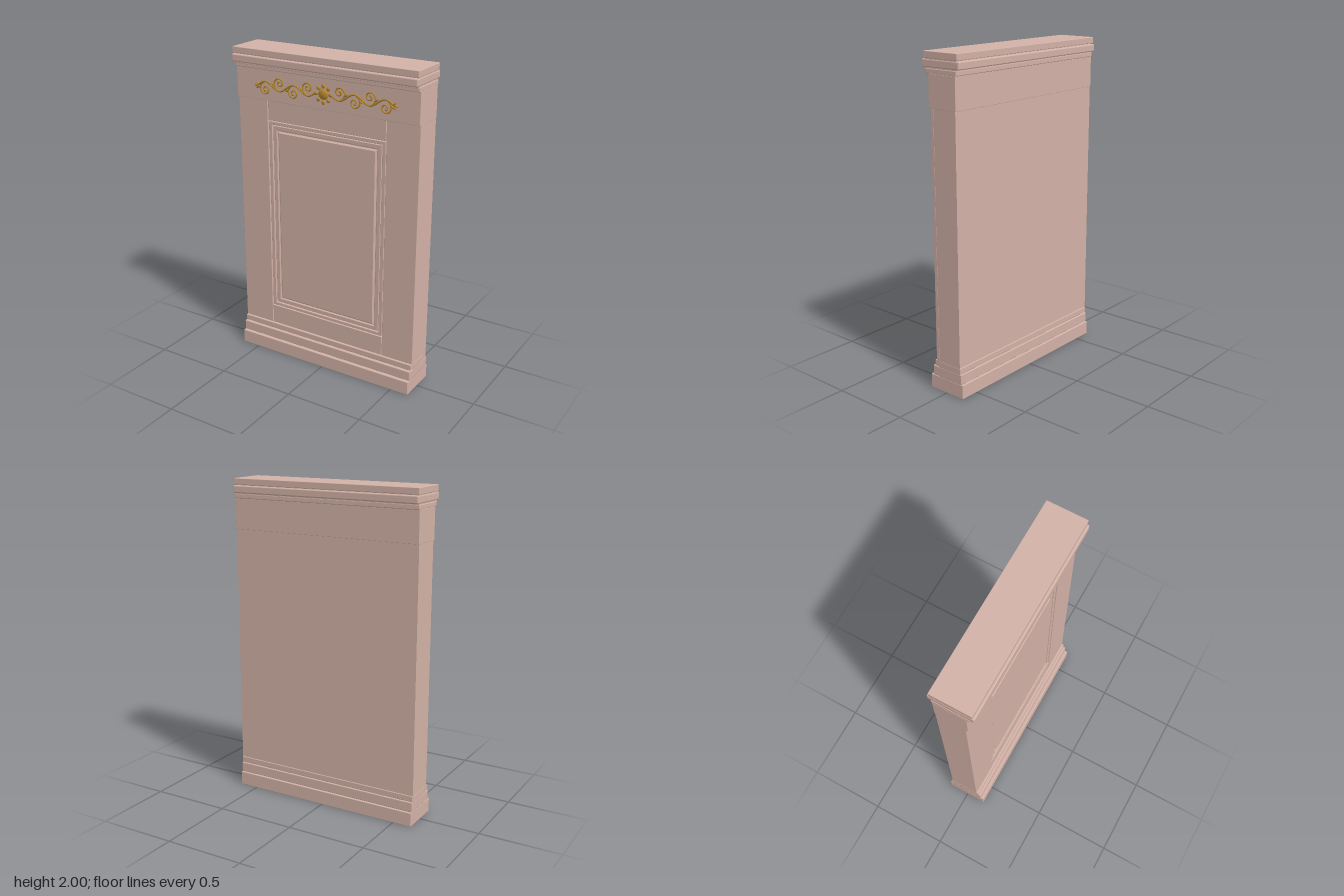
import * as THREE from 'three';
import { RoundedBoxGeometry } from 'three/addons/geometries/RoundedBoxGeometry.js';

const stone = new THREE.MeshStandardMaterial({ color: 0xd3b2a7 });
const gold = new THREE.MeshStandardMaterial({ color: 0xb8892f });
const W = 0.62; // half width

function add(parent, name, geometry, material = stone) {
  const mesh = new THREE.Mesh(geometry, material);
  mesh.name = name;
  parent.add(mesh);
  return mesh;
}

// Block given by its limits, with softened edges
function block(parent, name, [x0, x1], [y0, y1], [z0, z1], r = 0.002) {
  const mesh = add(parent, name, new RoundedBoxGeometry(x1 - x0, y1 - y0, z1 - z0, 2, r));
  mesh.position.set((x0 + x1) / 2, (y0 + y1) / 2, (z0 + z1) / 2);
  return mesh;
}

function rect(path, hx, hy) {
  path.moveTo(-hx, -hy);
  path.lineTo(hx, -hy);
  path.lineTo(hx, hy);
  path.lineTo(-hx, hy);
  path.closePath();
  return path;
}

// Bevelled rectangular frame (or solid panel when no hole is given)
function panelPiece(parent, name, outer, inner, z0, z1, bevel) {
  const shape = rect(new THREE.Shape(), outer[0] - bevel, outer[1] - bevel);
  if (inner) shape.holes.push(rect(new THREE.Path(), inner[0] + bevel, inner[1] + bevel));
  const geometry = new THREE.ExtrudeGeometry(shape, {
    depth: z1 - z0 - bevel, bevelEnabled: true, bevelSize: bevel, bevelThickness: bevel, bevelSegments: 1,
  });
  add(parent, name, geometry).position.set(0, 0.94, z0);
}

function tube(parent, name, points, radius) {
  const curve = new THREE.CatmullRomCurve3(points);
  return add(parent, name, new THREE.TubeGeometry(curve, points.length * 2, radius, 8), gold);
}

function ball(parent, name, x, y, z, r, sx = 1, sy = 1, sz = 1) {
  const mesh = add(parent, name, new THREE.SphereGeometry(r, 16, 12), gold);
  mesh.position.set(x, y, z);
  mesh.scale.set(sx, sy, sz);
  return mesh;
}

// One half of the scrollwork, running outward along +x
function scrollHalf(side) {
  const half = new THREE.Group();
  half.name = side > 0 ? 'leftScroll' : 'rightScroll';
  const stemY = (x) => -0.024 * Math.cos(((x - 0.106) / 0.1) * Math.PI);
  const stem = [];
  for (let i = 0; i <= 32; i++) {
    const x = 0.05 + (0.405 * i) / 32;
    stem.push(new THREE.Vector3(x, stemY(x), 0));
  }
  stem.push(new THREE.Vector3(0.475, -0.008, 0));
  tube(half, 'stem', stem, 0.0055);

  for (let k = 0; k < 4; k++) {
    const up = k % 2 ? -1 : 1;
    const cx = 0.106 + k * 0.1;
    const points = [];
    for (let i = 0; i <= 30; i++) {
      const turn = (i / 30) * Math.PI * 2.8;
      const r = 0.047 * Math.exp(-0.17 * turn);
      const a = turn - Math.PI / 2;
      points.push(new THREE.Vector3(cx + r * Math.cos(a), up * (0.023 + r * Math.sin(a)), 0));
    }
    tube(half, 'curl', points, 0.0045);
    const end = points[points.length - 1];
    ball(half, 'curlBud', end.x, end.y, 0.001, 0.008);
    // small leaf where the curl leaves the stem
    const leaf = ball(half, 'leaf', cx + 0.045, up * 0.012, 0, 0.014, 1, 0.4, 0.5);
    leaf.rotation.z = up * 0.7;
  }
  // pointed tip with two leaflets
  ball(half, 'tipBud', 0.472, -0.004, 0, 0.013, 1, 0.5, 0.6);
  for (const s of [-1, 1]) {
    ball(half, 'tipLeaf', 0.462, -0.004 + s * 0.011, 0, 0.014, 1, 0.4, 0.5).rotation.z = s * 0.8;
  }
  // the far half is the near one turned about y, kept on the frieze face
  if (side < 0) half.rotation.y = Math.PI;
  return half;
}

export function createModel() {
  const model = new THREE.Group();
  model.name = 'panelledPier';

  // Core slab
  add(model, 'core', new THREE.BoxGeometry(2 * W - 0.002, 1.86, 0.168)).position.set(0, 0.97, -0.024);

  // Stepped base, flush at the ends
  block(model, 'plinth', [-W, W], [0, 0.088], [-0.13, 0.126], 0.004);
  block(model, 'baseMiddle', [-W, W], [0.088, 0.151], [-0.119, 0.107], 0.005);
  block(model, 'baseTop', [-W, W], [0.151, 0.19], [-0.112, 0.091], 0.005);

  // Stiles and rails on the front
  for (const s of [-1, 1]) {
    block(model, s > 0 ? 'leftStile' : 'rightStile', s > 0 ? [0.408, W] : [-W, -0.408], [0.18, 1.7], [0.055, 0.078], 0.003);
  }
  block(model, 'bottomRail', [-0.405, 0.405], [0.18, 0.315], [0.055, 0.077], 0.003);
  block(model, 'topRail', [-0.405, 0.405], [1.566, 1.7], [0.055, 0.077], 0.003);

  // Inset panel with nested mouldings
  panelPiece(model, 'panelBorder', [0.405, 0.622], [0.38, 0.6], 0.055, 0.074, 0.003);
  panelPiece(model, 'panelMoulding', [0.377, 0.597], [0.347, 0.567], 0.055, 0.07, 0.004);
  panelPiece(model, 'raisedPanel', [0.341, 0.561], null, 0.055, 0.072, 0.008);

  // Frieze and cornice
  block(model, 'frieze', [-W, W], [1.69, 1.88], [-0.112, 0.09]);
  block(model, 'corniceBed', [-W, W], [1.879, 1.908], [-0.119, 0.107], 0.005);
  block(model, 'corniceNeck', [-W + 0.003, W - 0.003], [1.9, 1.97], [-0.118, 0.118]);
  block(model, 'corniceBand', [-W, W], [1.912, 1.958], [-0.1375, 0.1375], 0.008);
  block(model, 'corniceTop', [-W, W], [1.962, 2], [-0.126, 0.126], 0.003);

  // Gilded ornament on the frieze
  const ornament = new THREE.Group();
  ornament.name = 'ornament';
  ornament.position.set(0, 1.784, 0.093);
  ornament.add(scrollHalf(1), scrollHalf(-1));
  ball(ornament, 'flowerCentre', 0, 0, 0, 0.032, 1, 1, 0.45);
  for (let i = 0; i < 8; i++) {
    const a = (i * Math.PI) / 4;
    ball(ornament, 'petal', 0.048 * Math.cos(a), 0.048 * Math.sin(a), 0, 0.014, 1, 0.8, 0.6).rotation.z = a;
  }
  model.add(ornament);
  return model;
}
